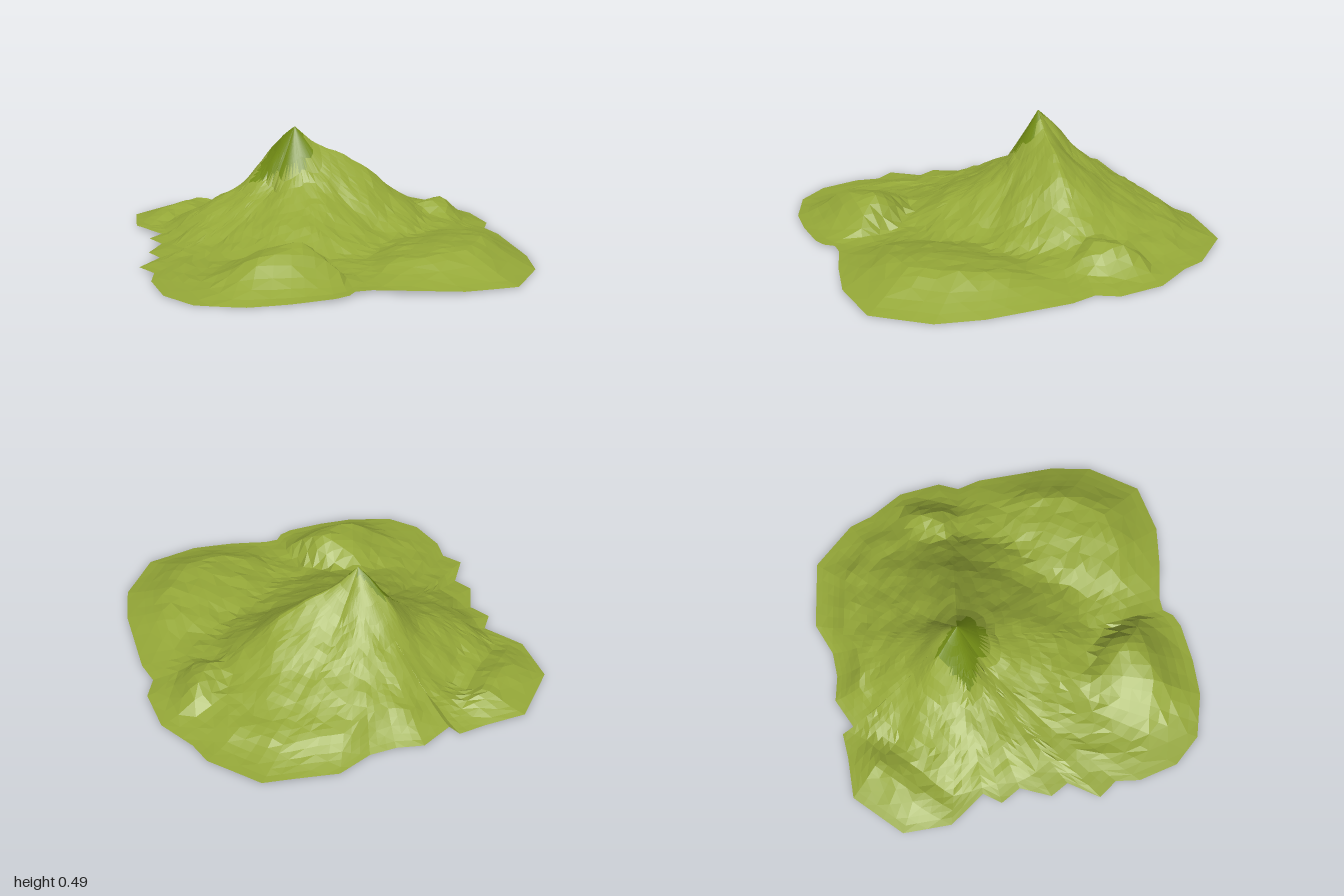
import * as THREE from 'three';

const PEAK = { x: -0.22, z: -0.1 };

// Shoreline [x, z], clockwise seen from above, starting at the back
const OUTLINE = [
  [-0.28, -0.94], [-0.03, -0.95], [0.07, -0.91], [0.25, -0.88], [0.41, -0.77], [0.45, -0.68],
  [0.55, -0.63], [0.82, -0.4], [0.94, -0.25], [1, 0], [0.88, 0.2], [0.74, 0.32], [0.6, 0.42],
  [0.56, 0.47], [0.57, 0.52], [0.55, 0.58], [0.45, 0.72], [0.34, 0.84], [0.17, 0.945],
  [0.01, 0.945], [-0.15, 0.86], [-0.22, 0.78], [-0.32, 0.77], [-0.36, 0.62], [-0.45, 0.6],
  [-0.51, 0.47], [-0.61, 0.45], [-0.63, 0.36], [-0.82, 0.34], [-0.98, 0.2], [-1, -0.07],
  [-0.88, -0.21], [-0.815, -0.3], [-0.76, -0.285], [-0.72, -0.43], [-0.63, -0.5], [-0.56, -0.59],
  [-0.51, -0.74],
];

// Mountain slope heights at these distances from the peak, one row per 45 degrees
const RADII = [0, 0.07, 0.15, 0.25, 0.35, 0.45, 0.6, 0.8];
const SLOPES = [
  [0.49, 0.40, 0.30, 0.22, 0.15, 0.08, 0.035, 0.02], // +x
  [0.49, 0.37, 0.265, 0.20, 0.16, 0.12, 0.04, 0.02],
  [0.49, 0.36, 0.225, 0.165, 0.115, 0.07, 0.035, 0.02], // +z
  [0.49, 0.40, 0.29, 0.21, 0.165, 0.12, 0.03, 0.01],
  [0.49, 0.445, 0.37, 0.225, 0.13, 0.045, 0.015, 0.01], // -x
  [0.49, 0.42, 0.33, 0.24, 0.17, 0.11, 0.045, 0.01],
  [0.49, 0.40, 0.31, 0.24, 0.19, 0.14, 0.085, 0.03], // -z
  [0.49, 0.43, 0.385, 0.345, 0.28, 0.20, 0.085, 0.05], // long back ridge
];

// Low hills: centre, height, reach towards -x, +x, -z, +z, and how rounded they are across x
const HILLS = [
  { x: 0.69, z: -0.1, h: 0.105, reach: [0.46, 0.42, 0.65, 0.55], round: 2 },
  { x: 0.26, z: 0.46, h: 0.15, reach: [0.34, 0.31, 0.14, 0.5], round: 1.3 },
  { x: -0.83, z: 0.02, h: 0.07, reach: [0.24, 0.14, 0.36, 0.4], round: 2 },
  { x: 0.2, z: -0.6, h: 0.13, reach: [0.18, 0.22, 0.3, 0.17], round: 1.3 },
];

const { lerp } = THREE.MathUtils;
const angleOf = (x, z) => Math.atan2(z - PEAK.z, x - PEAK.x);

function mountain(x, z) {
  const r = Math.min(Math.hypot(x - PEAK.x, z - PEAK.z), 0.799);
  const sector = (angleOf(x, z) / (Math.PI / 4) + 8) % 8;
  const i = Math.floor(sector);
  const k = RADII.findIndex((v) => v > r) - 1;
  const t = (r - RADII[k]) / (RADII[k + 1] - RADII[k]);
  const along = (row) => lerp(row[k], row[k + 1], t);
  return lerp(along(SLOPES[i]), along(SLOPES[(i + 1) % 8]), sector - i);
}

function hill({ x: cx, z: cz, h, reach, round }, x, z) {
  const dx = Math.abs(x - cx) / reach[x < cx ? 0 : 1];
  const dz = (z - cz) / reach[z < cz ? 2 : 3];
  return h * (1 - dx ** round - dz * dz);
}

// Maximum with a softly rounded valley where the two meet
function softMax(a, b) {
  const w = Math.max(0, 0.02 - Math.abs(a - b));
  return Math.max(a, b) + w * w / 0.08;
}

// Small rocky unevenness
function roughness(x, z) {
  return 0.006 * Math.sin(23 * x + 9 * z) * Math.sin(27 * z - 8 * x + 1)
    + 0.003 * Math.sin(51 * x - 33 * z) * Math.sin(47 * z + 29 * x);
}

// t runs from 0 at the peak to 1 at the shore
function heightAt(x, z, t) {
  const land = HILLS.reduce((y, h) => softMax(y, hill(h, x, z)), Math.max(0.025, mountain(x, z)));
  const shore = Math.min(1, (1 - t) / 0.2);
  const rim = (0.007 + 0.007 * Math.sin(4 * x - 3 * z)) * t;
  return rim + (land - rim + roughness(x, z) * Math.min(1, t * 8)) * shore;
}

// Points along the shoreline at even angles around the peak
function shorePoints() {
  return OUTLINE.flatMap(([x, z], i) => {
    const [nx, nz] = OUTLINE[(i + 1) % OUTLINE.length];
    const turn = (angleOf(nx, nz) - angleOf(x, z) + 2 * Math.PI) % (2 * Math.PI);
    const n = turn > Math.PI ? 1 : Math.ceil(turn / 0.075);
    return Array.from({ length: n }, (_, j) => [lerp(x, nx, j / n), lerp(z, nz, j / n)]);
  });
}

function surface(name, triangles, color) {
  const geometry = new THREE.BufferGeometry();
  geometry.setAttribute('position', new THREE.Float32BufferAttribute(triangles.flat(2), 3));
  geometry.computeVertexNormals();
  const material = new THREE.MeshStandardMaterial({ color, flatShading: true, side: THREE.DoubleSide });
  const mesh = new THREE.Mesh(geometry, material);
  mesh.name = name;
  return mesh;
}

export function createModel() {
  const shore = shorePoints();
  const rings = 24;

  // Rings of points growing from the peak out to the shore
  const grid = Array.from({ length: rings + 1 }, (_, k) => shore.map(([sx, sz]) => {
    const t = k / rings;
    const x = lerp(PEAK.x, sx, t), z = lerp(PEAK.z, sz, t);
    return [x, heightAt(x, z, t), z];
  }));

  // The steep front of the summit is a darker green
  const ground = [], summit = [];
  const addTriangle = (...tri) => {
    const [x, y, z] = [0, 1, 2].map((a) => (tri[0][a] + tri[1][a] + tri[2][a]) / 3);
    const onSummit = x > -0.35 && x < -0.12 && z > -0.12 && y > 0.24 + (x + 0.33) * 0.4;
    (onSummit ? summit : ground).push(tri);
  };
  for (let k = 0; k < rings; k++) {
    for (let i = 0; i < shore.length; i++) {
      const j = (i + 1) % shore.length;
      const a = grid[k][i], b = grid[k + 1][i], c = grid[k + 1][j], d = grid[k][j];
      if ((i + k) % 2 || k === 0) {
        addTriangle(a, c, b);
        if (k > 0) addTriangle(a, d, c);
      } else {
        addTriangle(a, d, b);
        addTriangle(d, c, b);
      }
    }
  }

  const group = new THREE.Group();
  group.name = 'mountainIsland';
  group.add(surface('terrain', ground, 0x95a838), surface('summitFace', summit, 0x728c14));
  return group;
}
